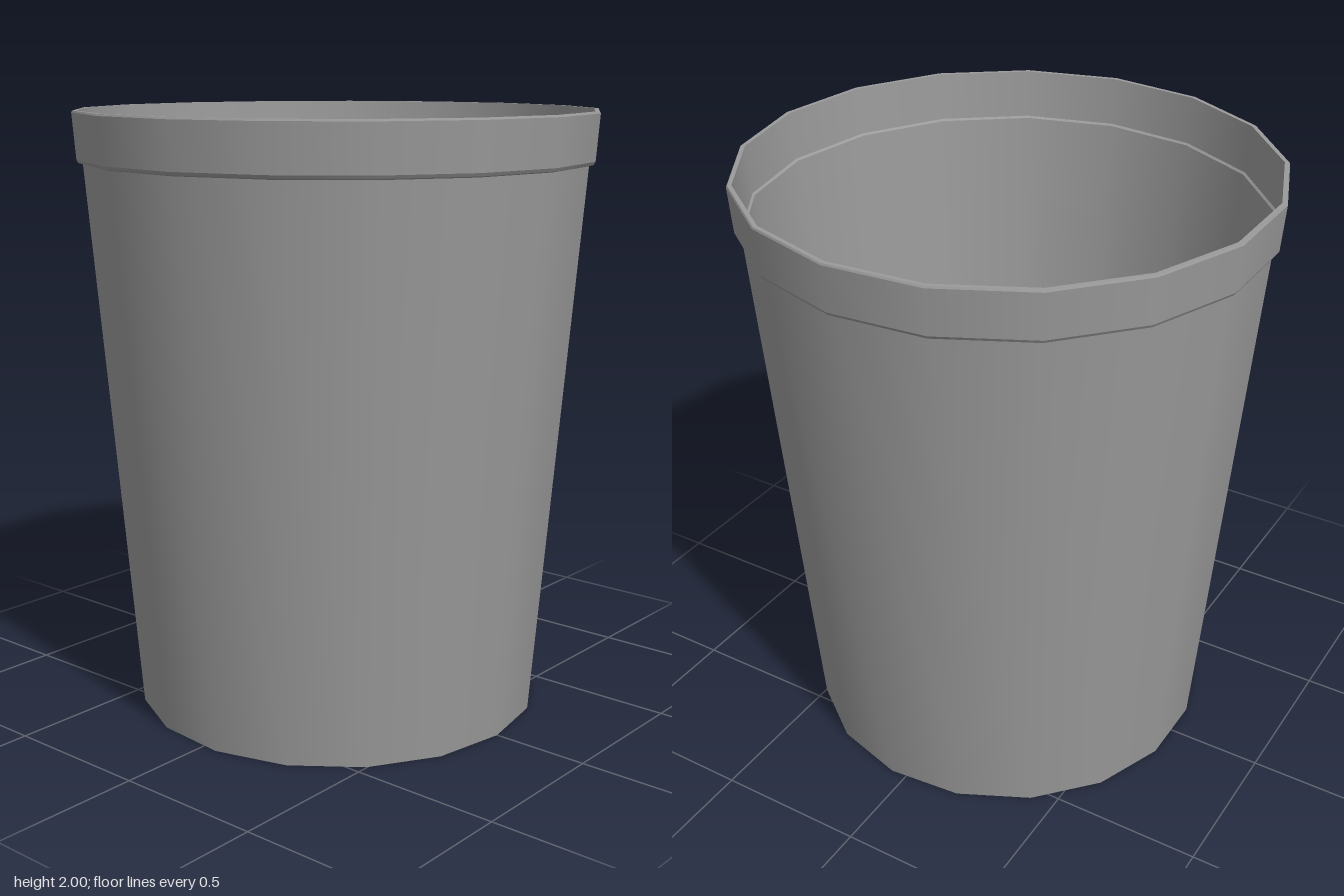
import * as THREE from 'three';
import { mergeGeometries } from 'three/addons/utils/BufferGeometryUtils.js';

const SIDES = 17;

// Turns a [radius, height] profile; every span is its own lathe, so profile corners stay sharp
// while the shading runs smoothly around the sides.
function turned(name, profile, material) {
  const points = profile.map(([r, y]) => new THREE.Vector2(r, y));
  const spans = points.slice(1).map((p, i) =>
    new THREE.LatheGeometry([points[i], p], SIDES, Math.PI / 2));
  const geometry = mergeGeometries(spans);
  geometry.normalizeNormals();
  const mesh = new THREE.Mesh(geometry, material);
  mesh.name = name;
  return mesh;
}

export function createModel() {
  const material = new THREE.MeshStandardMaterial({ color: 0x9a9a9a });
  const bucket = new THREE.Group();
  bucket.name = 'bucket';

  // Underside and tapered outer wall
  bucket.add(turned('base', [[0, 0], [0.682, 0]], material));
  bucket.add(turned('outerWall', [[0.682, 0], [0.829, 1.832]], material));

  // Collar around the mouth: sloping underside, flared band, lip, inner band and step
  bucket.add(turned('rim', [
    [0.829, 1.832], [0.843, 1.836], [0.849, 1.846], [0.86, 1.994], [0.857, 2],
    [0.843, 2], [0.832, 1.842], [0.825, 1.836],
  ], material));

  // Inside of the bucket
  bucket.add(turned('innerWall', [[0.825, 1.836], [0.679, 0.012]], material));
  bucket.add(turned('innerFloor', [[0.679, 0.012], [0, 0.012]], material));

  // An odd number of sides leaves the outline slightly off centre
  bucket.children.forEach((part) => { part.position.x = -0.007; });
  return bucket;
}
